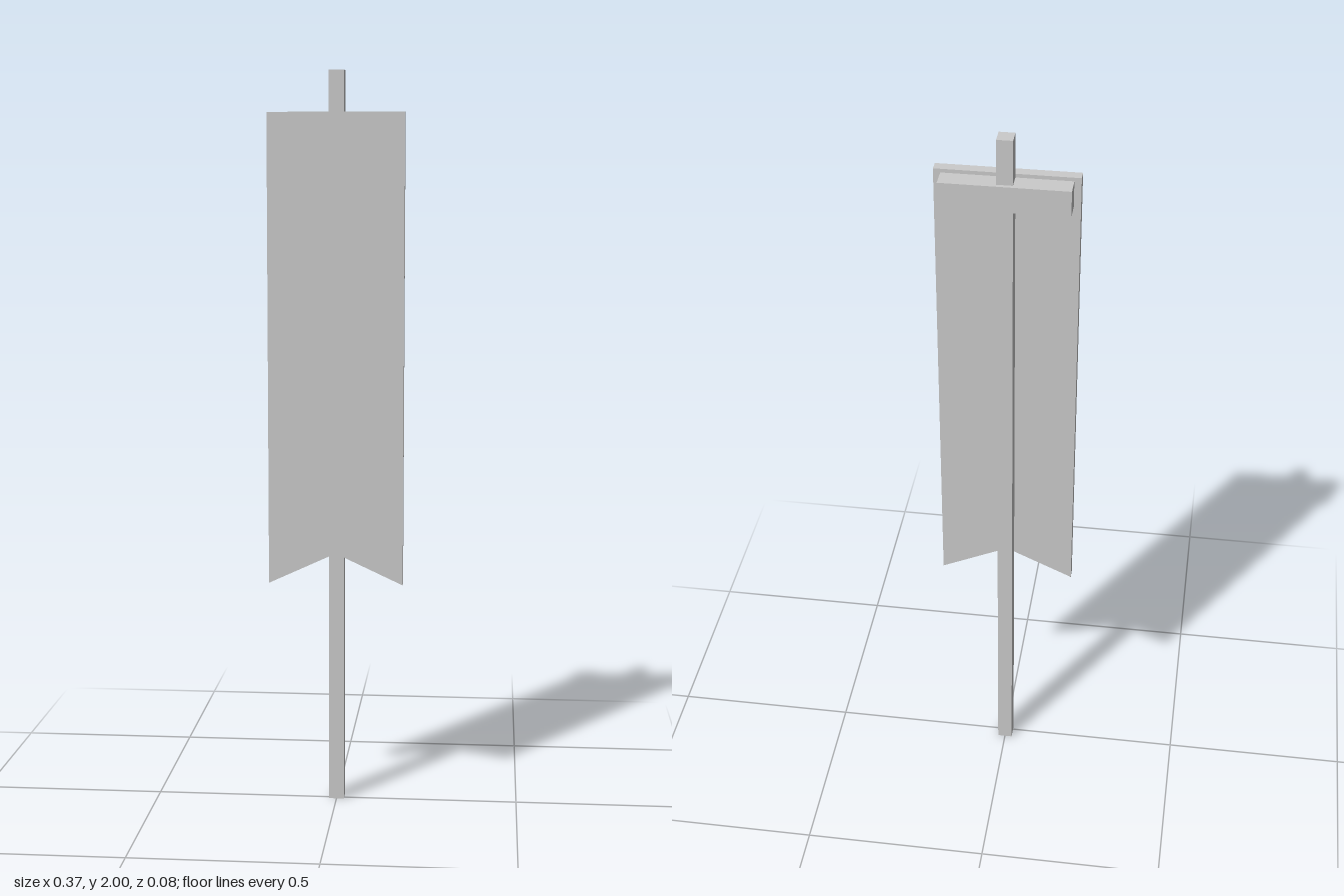
import * as THREE from 'three';

export function createModel() {
  const model = new THREE.Group();
  const material = new THREE.MeshStandardMaterial({ color: 0xcccccc, flatShading: true });
  const joinZ = 0.012; // plane where the cloth meets the pole and crossbar

  const add = (name, geometry) => {
    const mesh = new THREE.Mesh(geometry, material);
    mesh.name = name;
    model.add(mesh);
    return mesh;
  };

  // Bar centred on x, its front face lying on the join plane
  const addBar = (name, width, bottom, top, depth) => {
    const bar = add(name, new THREE.BoxGeometry(width, top - bottom, depth));
    bar.position.set(0, (bottom + top) / 2, joinZ - depth / 2);
  };

  addBar('pole', 0.041, 0, 2, 0.043);
  addBar('crossbar', 0.33, 1.81, 1.88, 0.053);

  // Hanging cloth with a V-shaped notch in its lower edge
  const half = 0.183;
  const outline = new THREE.Shape([
    [-half, 0.62], [0, 0.705], [half, 0.62], [half, 1.89], [-half, 1.89],
  ].map(([x, y]) => new THREE.Vector2(x, y)));
  const banner = add('banner', new THREE.ExtrudeGeometry(outline, { depth: 0.028, bevelEnabled: false }));
  banner.position.z = joinZ;

  return model;
}
